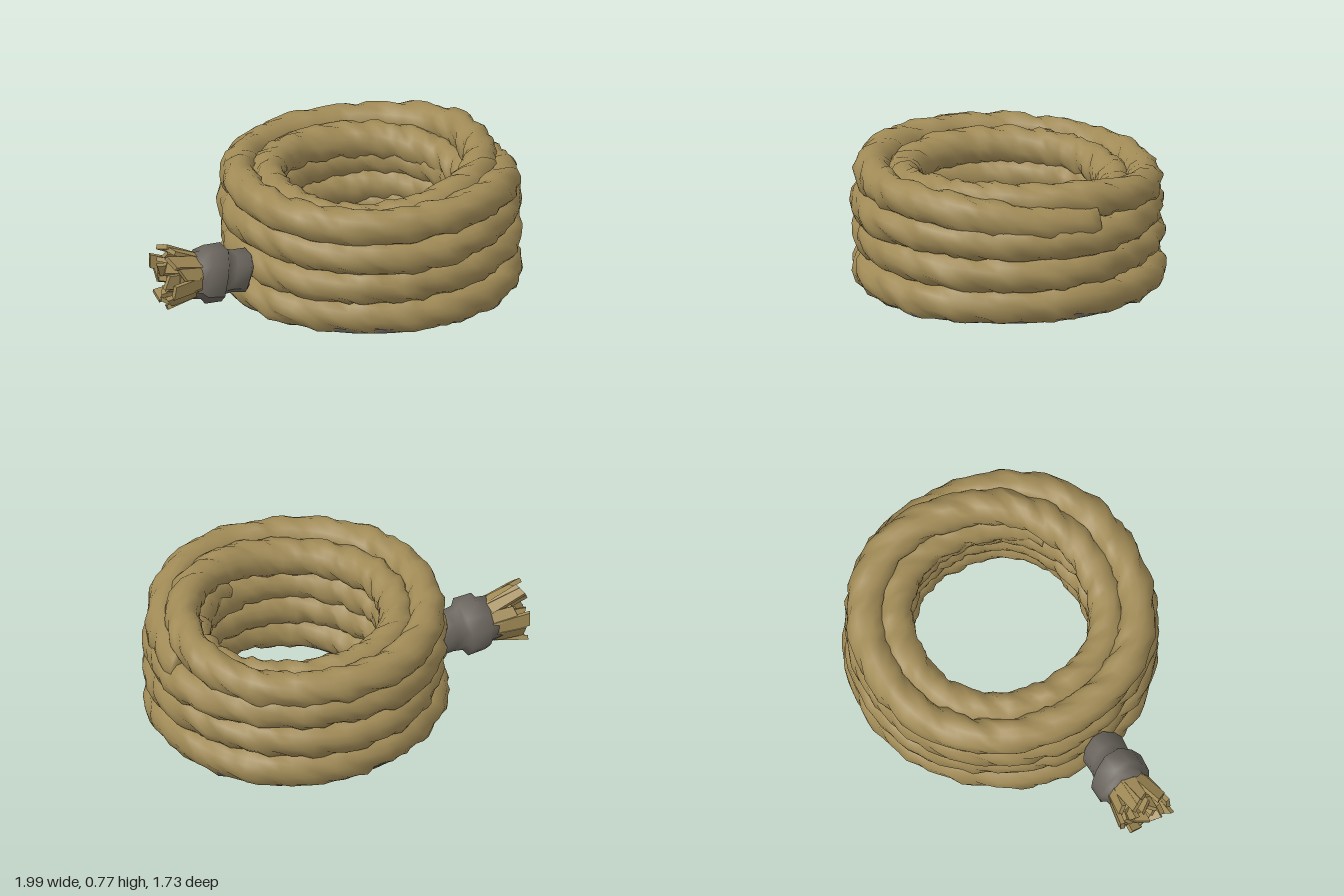
import * as THREE from 'three';

const tan = new THREE.MeshStandardMaterial({ color: 0xa08a56 });
tan.name = 'rope tan';
const grey = new THREE.MeshStandardMaterial({ color: 0x69645c });
grey.name = 'binding grey';

const CX = 0.17, SQUASH = 0.968; // coil centre and slight oval
const smooth = THREE.MathUtils.smoothstep;

function seeded(seed) {
  return () => {
    seed = (seed * 16807) % 2147483647;
    return seed / 2147483647;
  };
}

// Three-strand twisted rope swept around the coil axis; path(angle) gives [radius, height]
function rope(name, path, from, to, { size = 0.103, closed = true, twist = 6, seed = 1, greyBelow = -1 } = {}) {
  const sides = 15, segs = Math.round((to - from) * 13), rows = closed ? segs : segs + 1;
  const rnd = seeded(seed * 977 + 13), pos = [], tanFaces = [], greyFaces = [];
  for (let i = 0; i < rows; i++) {
    const a = from + ((to - from) * i) / segs;
    const [r, y] = path(a);
    for (let j = 0; j < sides; j++) {
      const u = (j / sides) * Math.PI * 2, phi = u + twist * a;
      const s = size * (0.87 + 0.13 * Math.abs(Math.cos(1.5 * u))) + (rnd() - 0.5) * 0.02;
      const rr = r + s * Math.cos(phi);
      pos.push(CX + rr * Math.cos(a) * SQUASH, Math.max(0.005, y + s * Math.sin(phi)), rr * Math.sin(a));
    }
  }
  const face = (a, b, c) => {
    const y = (pos[a * 3 + 1] + pos[b * 3 + 1] + pos[c * 3 + 1]) / 3;
    (y < greyBelow ? greyFaces : tanFaces).push(a, b, c);
  };
  for (let i = 0; i < segs; i++) {
    for (let j = 0; j < sides; j++) {
      const k = (j + 1) % sides, n = (i + 1) % rows;
      const a = i * sides + j, b = i * sides + k, c = n * sides + j, d = n * sides + k;
      face(a, b, c);
      face(b, d, c);
    }
  }
  if (!closed) {
    const last = (rows - 1) * sides;
    for (let j = 1; j < sides - 1; j++) {
      face(0, j + 1, j);
      face(last, last + j, last + j + 1);
    }
  }
  const g = new THREE.BufferGeometry();
  g.setAttribute('position', new THREE.Float32BufferAttribute(pos, 3));
  g.setIndex([...tanFaces, ...greyFaces]);
  g.addGroup(0, tanFaces.length, 0);
  g.addGroup(tanFaces.length, greyFaces.length, 1);
  g.computeVertexNormals();
  const mesh = new THREE.Mesh(g, [tan, grey]);
  mesh.name = name;
  return mesh;
}

function createCoil() {
  const coil = new THREE.Group();
  coil.name = 'coil';
  const full = Math.PI * 2;
  // Stacked outer turns, with a little slack in each
  [[0.748, 0.119], [0.74, 0.297], [0.745, 0.472]].forEach(([r, y], i) => {
    const slack = (a) => 0.007 * Math.sin(3 * a + i * 2) + 0.004 * Math.sin(7 * a + i);
    coil.add(rope('outerTurn', (a) => [r + slack(a), y + 0.7 * slack(a + 1)], 0, full,
      { seed: i + 1, greyBelow: i ? -1 : 0.034 }));
  });
  // Inner turns, each one sloping down towards the bound end
  [0.16, 0.3, 0.45].forEach((y, i) => {
    const slack = (a) => 0.01 * Math.sin(2 * a + i * 2.4) + 0.006 * Math.sin(5 * a + i);
    coil.add(rope('innerTurn', (a) => [0.575 + slack(a), y - (i ? 0.015 : 0.05) * Math.cos(a - 2.36)], 0, full,
      { seed: i + 11, greyBelow: i ? -1 : 0.06 }));
  });
  // Top length: one outer turn, then crossing over to an inner turn with a loose end
  coil.add(rope('topTurn', (a) => {
    const r = 0.733 - 0.163 * smooth(a, 4.7, 6.9) + 0.007 * Math.sin(4 * a);
    const y = 0.555 + 0.085 * smooth(a, -0.8, 0.6) - 0.045 * smooth(a, 1.8, 4.6) + 0.075 * smooth(a, 4.6, 5.7)
      - 0.07 * smooth(a, 6, 8) - 0.08 * smooth(a, 9, 12.8) + 0.005 * Math.sin(3 * a);
    return [r, y];
  }, -0.8, 13.1, { closed: false, seed: 31 }));
  // Dark underside between the two bottom turns
  const base = new THREE.Mesh(new THREE.TorusGeometry(0.69, 0.12, 8, 60), grey);
  base.name = 'underside';
  base.rotation.x = Math.PI / 2;
  base.scale.set(SQUASH, 1, 0.42);
  base.position.set(CX, 0.063, 0);
  coil.add(base);
  return coil;
}

function createEnd() {
  const end = new THREE.Group();
  end.name = 'ropeEnd';
  const rnd = seeded(4242);
  // Crumpled wrapping with a raised band
  const profile = [[0, -0.03], [0.08, -0.03], [0.122, 0.0], [0.115, 0.08], [0.122, 0.13], [0.158, 0.15],
    [0.156, 0.25], [0.128, 0.27], [0.122, 0.33], [0, 0.33]].map(([x, y]) => new THREE.Vector2(x, y));
  const wrapGeo = new THREE.LatheGeometry(profile, 11);
  const p = wrapGeo.attributes.position;
  for (let i = 0; i < p.count; i++) {
    const a = Math.atan2(p.getX(i), p.getZ(i)), k = 1 + 0.06 * Math.sin(3 * a + p.getY(i) * 9);
    p.setXYZ(i, p.getX(i) * k, p.getY(i) + 0.02 * Math.sin(2 * a + 1), p.getZ(i) * k);
  }
  wrapGeo.computeVertexNormals();
  const wrap = new THREE.Mesh(wrapGeo, grey);
  wrap.name = 'wrapping';
  end.add(wrap);
  // Frayed end: a solid core ringed by flat, splayed shreds with slanted tips
  const core = new THREE.Mesh(new THREE.CylinderGeometry(0.1, 0.105, 0.13, 8), tan);
  core.name = 'frayCore';
  core.position.y = 0.355;
  end.add(core);
  const shreds = (count, radius, splay, reach) => {
    for (let i = 0; i < count; i++) {
      const len = reach + rnd() * 0.07;
      const geo = new THREE.BoxGeometry(0.075, len, 0.025);
      geo.translate(0, len / 2, 0);
      const v = geo.attributes.position, lean = (rnd() - 0.5) * 1.4;
      for (let k = 0; k < v.count; k++) {
        if (v.getY(k) > len / 2) v.setY(k, len + v.getX(k) * lean);
      }
      geo.computeVertexNormals();
      const shred = new THREE.Mesh(geo, tan);
      shred.name = 'shred';
      shred.position.set(0, 0.3, radius);
      shred.rotation.set(splay + (rnd() - 0.5) * 0.2, 0, (rnd() - 0.5) * 0.4);
      const spoke = new THREE.Group();
      spoke.name = 'frayedStrand';
      spoke.rotation.y = (i / count) * Math.PI * 2 + radius * 9;
      spoke.add(shred);
      end.add(spoke);
    }
  };
  shreds(12, 0.108, 0.22, 0.13);
  shreds(7, 0.06, 0.12, 0.14);
  end.position.set(-0.5, 0.26, 0.495);
  end.quaternion.setFromUnitVectors(new THREE.Vector3(0, 1, 0), new THREE.Vector3(-0.87, 0.12, 0.46).normalize());
  return end;
}

export function createModel() {
  const model = new THREE.Group();
  model.name = 'ropeCoil';
  model.add(createCoil(), createEnd());
  return model;
}
